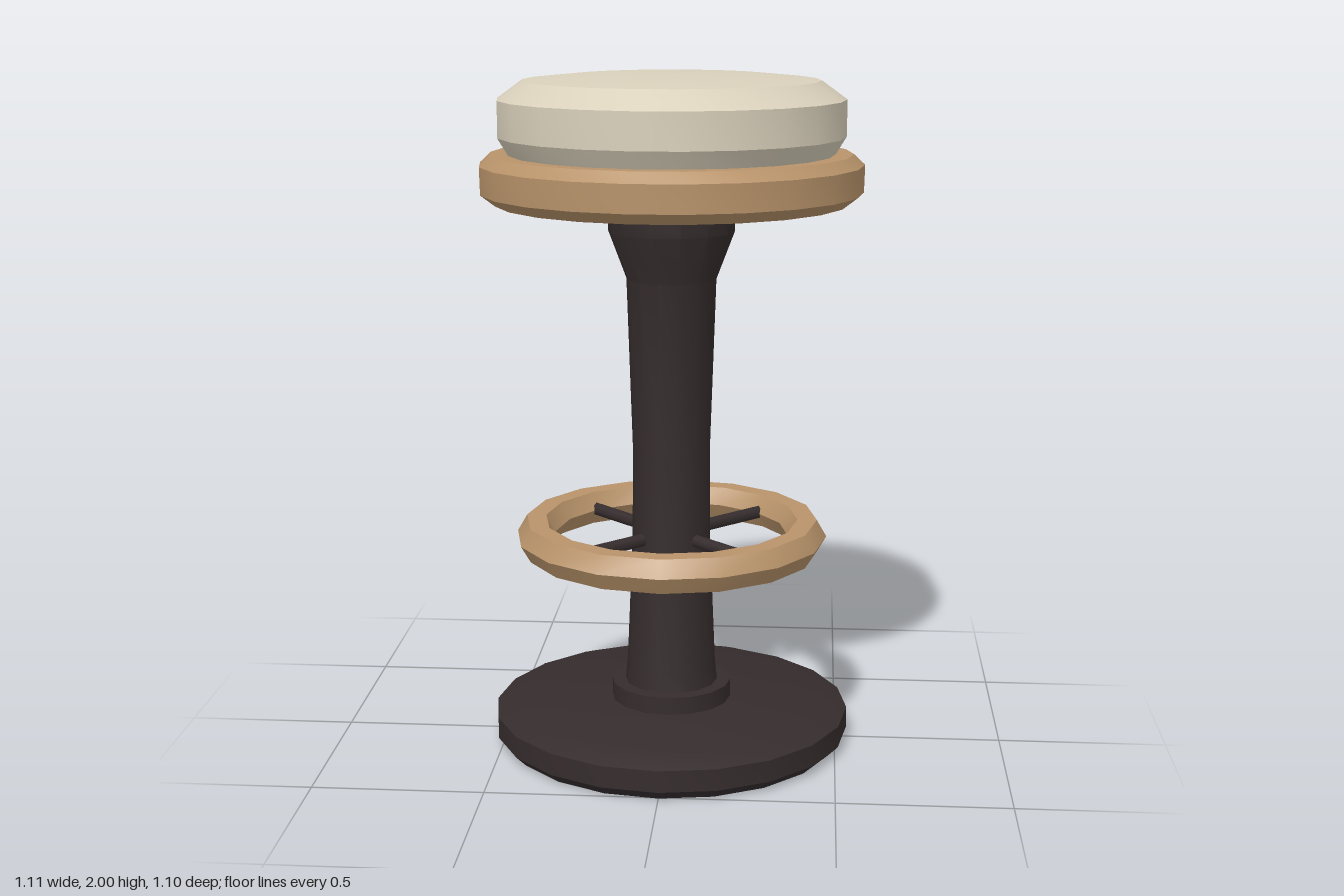
import * as THREE from 'three';
import { toCreasedNormals } from 'three/addons/utils/BufferGeometryUtils.js';

const mat = (name, color) => {
  const m = new THREE.MeshStandardMaterial({ color });
  m.name = name;
  return m;
};

export function createModel() {
  const group = new THREE.Group();
  const cream = mat('cream upholstery', 0xd9d0bb);
  const wood = mat('tan wood', 0xb8936a);
  const dark = mat('dark metal', 0x352c2d);

  const add = (name, geometry, material) => {
    const mesh = new THREE.Mesh(geometry, material);
    mesh.name = name;
    group.add(mesh);
    return mesh;
  };

  // Turned part from [radius, height] pairs, bottom to top, with a corner on +x
  const turned = (name, profile, sides, material) => {
    const points = profile.map(([r, y]) => new THREE.Vector2(r, y));
    const lathe = new THREE.LatheGeometry(points, sides, Math.PI / 2);
    return add(name, toCreasedNormals(lathe, 0.5), material);
  };

  // Floor plate and collar
  turned('base', [[0, 0], [0.505, 0], [0.535, 0.03], [0.535, 0.095], [0.465, 0.122], [0, 0.125]], 20, dark);
  turned('collar', [[0.18, 0.11], [0.18, 0.177], [0, 0.177]], 16, dark);

  // Waisted post flaring out under the seat
  turned('post', [
    [0.14, 0.17], [0.133, 0.24], [0.117, 0.62], [0.115, 0.9],
    [0.132, 1.41], [0.185, 1.55], [0.185, 1.64],
  ], 14, dark);

  // Foot ring with a six-sided section
  const ring = new THREE.TorusGeometry(0.407, 0.058, 6, 16).rotateX(-Math.PI / 2);
  add('footRing', toCreasedNormals(ring, 0.5), wood).position.y = 0.635;

  // Four diagonal spokes from post to foot ring
  for (let i = 0; i < 4; i++) {
    const spoke = new THREE.CylinderGeometry(0.02, 0.02, 0.32, 8)
      .rotateZ(Math.PI / 2)
      .translate(0.24, 0.635, 0)
      .rotateY(Math.PI / 4 + i * Math.PI / 2);
    add('spoke', spoke, dark);
  }

  // Wooden seat rim
  turned('seatRim', [
    [0, 1.633], [0.513, 1.633], [0.555, 1.665], [0.557, 1.745], [0.525, 1.775], [0, 1.775],
  ], 22, wood);

  // Domed cushion with undercut edge
  turned('cushion', [
    [0.47, 1.77], [0.503, 1.825], [0.503, 1.93], [0.43, 1.983], [0.3, 1.996], [0, 2],
  ], 22, cream);

  return group;
}
